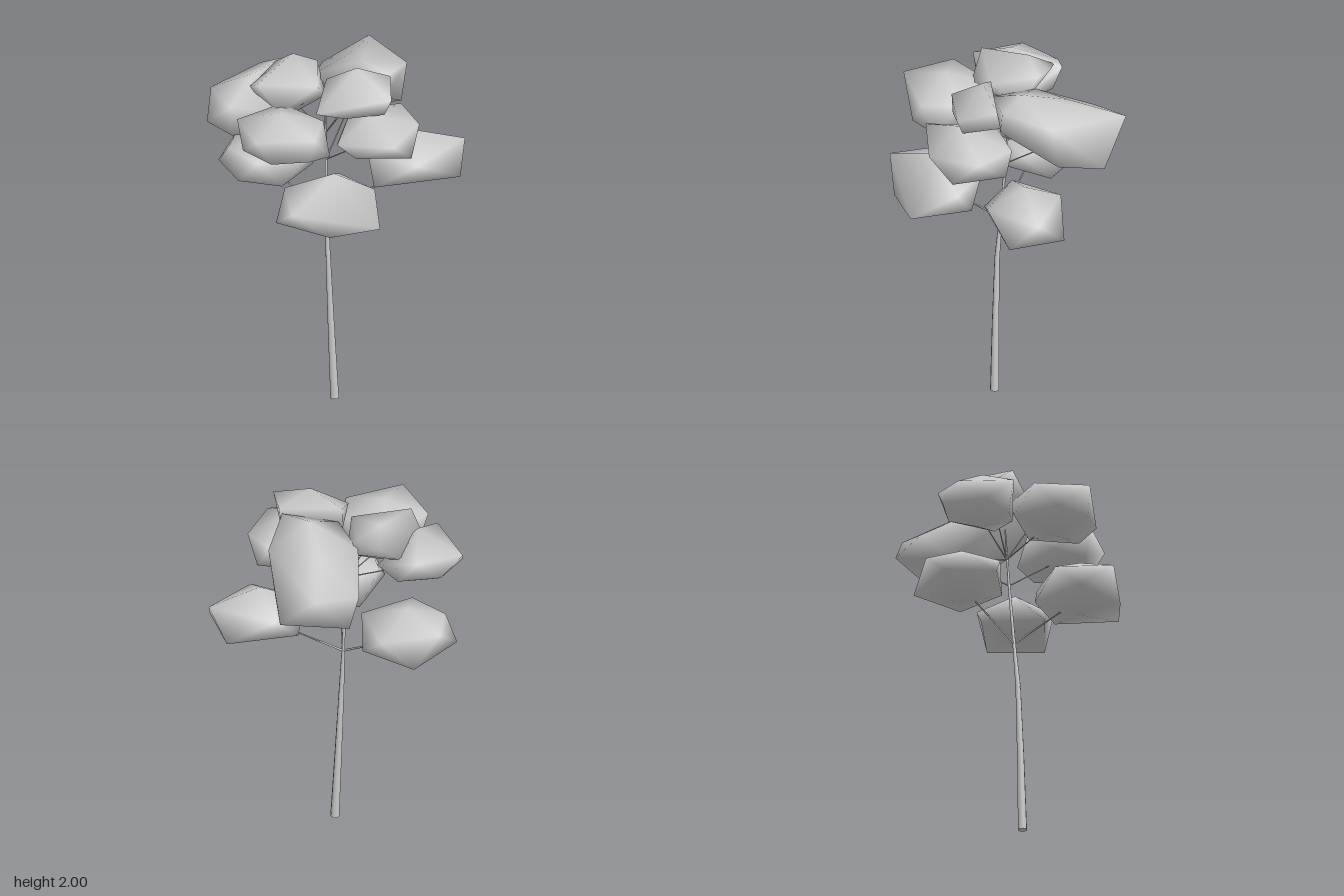
import * as THREE from 'three';
import { ConvexGeometry } from 'three/addons/geometries/ConvexGeometry.js';
import { mergeVertices } from 'three/addons/utils/BufferGeometryUtils.js';

const grey = new THREE.MeshStandardMaterial({ color: 0xcccccc });
const V = (x, y, z) => new THREE.Vector3(x, y, z);

function add(group, name, geo) {
  const mesh = new THREE.Mesh(geo, grey);
  mesh.name = name;
  group.add(mesh);
  return mesh;
}

// Leaf clump: smooth-shaded hull over a few corner points
function clump(corners) {
  const hull = new ConvexGeometry(corners.map((p) => V(...p)));
  hull.deleteAttribute('normal');
  const geo = mergeVertices(hull);
  geo.computeVertexNormals();
  return geo;
}

// Tapered round stick between two points
function stick(group, name, from, to, r0, r1, sides) {
  const dir = to.clone().sub(from);
  const mesh = add(group, name, new THREE.CylinderGeometry(r1, r0, dir.length(), sides));
  mesh.position.copy(from).addScaledVector(dir, 0.5);
  mesh.quaternion.setFromUnitVectors(V(0, 1, 0), dir.normalize());
}

// Corners of each clump: rim corners alternate high and low, then peak and underside
const clumps = {
  lowerFrontClump: [
    [-0.47, 1.37, 0.43], [-0.29, 1.24, 0.51], [-0.03, 1.26, 0.565], [-0.13, 1.37, 0.44], [0.045, 1.36, 0.33],
    [0.04, 1.24, 0.24], [-0.06, 1.37, 0.12], [-0.22, 1.23, 0.07], [-0.38, 1.37, 0.14], [-0.48, 1.24, 0.25],
    [-0.18, 1.5, 0.32], [-0.25, 1.17, 0.3],
  ],
  lowerLeftClump: [
    [0.39, 1.43, -0.09], [0.61, 1.31, 0.02], [0.625, 1.455, 0.18], [0.54, 1.31, 0.31], [0.3, 1.42, 0.3],
    [0.1, 1.29, 0.2], [0.13, 1.42, 0.05], [0.25, 1.31, -0.1],
    [0.36, 1.53, 0.11], [0.36, 1.285, 0.11],
  ],
  lowerBackClump: [
    [-0.48, 1.24, -0.48], [-0.34, 1.36, -0.54], [-0.17, 1.22, -0.565], [-0.04, 1.36, -0.45], [-0.03, 1.22, -0.28],
    [-0.1, 1.36, -0.15], [-0.28, 1.22, -0.12], [-0.4, 1.36, -0.16], [-0.49, 1.26, -0.2], [-0.47, 1.36, -0.38],
    [-0.27, 1.43, -0.33], [-0.25, 1.17, -0.33],
  ],
  upperRightClump: [
    [-0.6, 1.75, 0.27], [-0.52, 1.61, 0.28], [-0.34, 1.63, 0.37], [-0.3, 1.73, 0.34], [-0.2, 1.6, 0.31],
    [-0.18, 1.74, 0.18], [-0.18, 1.6, 0.05], [-0.3, 1.74, -0.08], [-0.46, 1.6, -0.1], [-0.58, 1.74, -0.02],
    [-0.6, 1.62, 0.1], [-0.4, 1.81, 0.13], [-0.4, 1.54, 0.13],
  ],
  upperFrontClump: [
    [-0.19, 1.7, 0.38], [-0.11, 1.6, 0.2], [0.02, 1.72, 0.09], [0.12, 1.58, 0.06], [0.28, 1.72, 0.14],
    [0.32, 1.6, 0.2], [0.29, 1.7, 0.35], [0.2, 1.57, 0.45], [0.07, 1.69, 0.515], [-0.08, 1.59, 0.37],
    [0.04, 1.79, 0.3], [0.07, 1.54, 0.28],
  ],
  backRightClump: [
    [-0.63, 1.6, -0.29], [-0.55, 1.72, -0.42], [-0.39, 1.66, -0.465], [-0.25, 1.78, -0.455], [-0.15, 1.8, -0.42],
    [-0.18, 1.66, -0.38], [-0.2, 1.62, -0.14], [-0.43, 1.58, -0.1], [-0.55, 1.57, -0.15], [-0.57, 1.75, -0.13],
    [-0.38, 1.85, -0.25], [-0.4, 1.54, -0.28],
  ],
  upperMiddleClump: [
    [-0.43, 1.87, -0.1], [-0.35, 1.74, 0.01], [-0.14, 1.85, 0.02], [-0.04, 1.72, -0.1], [-0.04, 1.87, -0.21],
    [-0.1, 1.85, -0.32], [-0.2, 1.8, -0.4], [-0.42, 1.78, -0.25],
    [-0.17, 1.93, -0.23], [-0.22, 1.64, -0.12],
  ],
  crownClump: [
    [-0.23, 1.8, 0.2], [0.12, 1.89, 0.375], [0.1, 1.79, 0.33], [0.2, 1.92, 0.18], [0.2, 1.82, 0.16],
    [-0.1, 1.9, 0.04], [-0.1, 1.75, 0.05], [0.02, 2, 0.16], [0, 1.75, 0.15], [-0.1, 1.78, 0.27],
  ],
  upperBackClump: [
    [0.39, 1.85, -0.03], [0.38, 1.6, -0.08], [0.48, 1.57, -0.3], [0.38, 1.78, -0.49], [0.22, 1.61, -0.565],
    [0.1, 1.7, -0.46], [0.1, 1.59, -0.3], [0.13, 1.93, -0.01], [0, 1.73, -0.1], [-0.05, 1.8, -0.2],
    [0.2, 1.91, 0.15], [0.18, 1.78, 0.15], [-0.08, 1.82, 0.05], [0.2, 1.86, -0.25], [0.24, 1.53, -0.22],
  ],
};

export function createModel() {
  const tree = new THREE.Group();
  tree.name = 'tree';

  // Trunk: leaning and tapering, [x, y, z, radius]
  const trunk = [
    [-0.055, 0, 0.045, 0.024], [-0.068, 0.4, 0.032, 0.019], [-0.078, 0.8, 0.016, 0.014],
    [-0.076, 1.05, -0.005, 0.009], [-0.07, 1.38, -0.03, 0.007], [-0.065, 1.7, -0.05, 0.004],
  ];
  for (let i = 0; i < trunk.length - 1; i++) {
    const [a, b] = [trunk[i], trunk[i + 1]];
    stick(tree, 'trunk', V(a[0], a[1], a[2]), V(b[0], b[1], b[2]), a[3], b[3], 8);
  }

  // Branches in three whorls
  const branches = new THREE.Group();
  branches.name = 'branches';
  tree.add(branches);
  const whorls = [
    [V(-0.076, 1.05, -0.005), 0.006, [[-0.22, 1.25, 0.28], [0.34, 1.33, 0.1], [-0.27, 1.25, -0.33]]],
    [V(-0.07, 1.38, -0.03), 0.004, [[0.2, 1.62, -0.25], [0.05, 1.6, 0.25]]],
    [V(-0.067, 1.53, -0.042), 0.004,
      [[-0.38, 1.63, 0.13], [-0.37, 1.65, -0.28], [-0.22, 1.72, -0.14], [0.02, 1.8, 0.12], [0.22, 1.63, -0.25]]],
  ];
  for (const [from, r, ends] of whorls) {
    for (const end of ends) stick(branches, 'branch', from, V(...end), r, r / 2, 6);
  }

  // Leaf clumps
  for (const [name, corners] of Object.entries(clumps)) add(tree, name, clump(corners));

  return tree;
}
